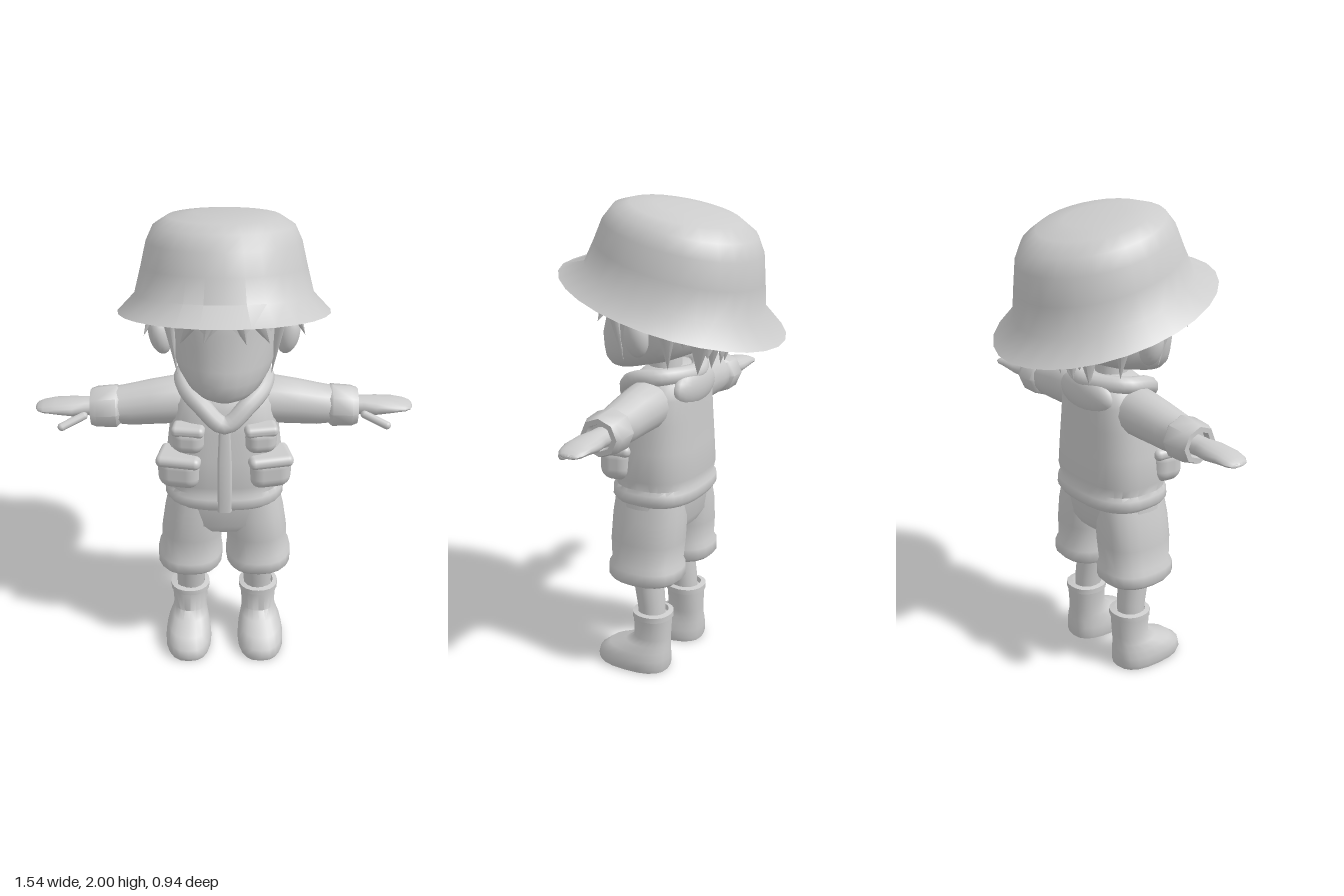
import * as THREE from 'three';
import { toCreasedNormals, mergeVertices } from 'three/addons/utils/BufferGeometryUtils.js';
import { RoundedBoxGeometry } from 'three/addons/geometries/RoundedBoxGeometry.js';

const V = (p) => new THREE.Vector3(...p);

// Indexed grid of rows of points, closed around each row, with optional end caps
function skin(rows, capStart, capEnd, crease = 0.9) {
  const n = rows[0].length, pos = rows.flat(2), idx = [];
  for (let r = 0; r < rows.length - 1; r++) {
    for (let i = 0; i < n; i++) {
      const a = r * n + i, b = r * n + (i + 1) % n;
      idx.push(a, b, b + n, a, b + n, a + n);
    }
  }
  const cap = (r, end) => {
    const c = pos.length / 3;
    for (let k = 0; k < 3; k++) pos.push(rows[r].reduce((s, p) => s + p[k], 0) / n);
    for (let i = 0; i < n; i++) {
      const a = r * n + i, b = r * n + (i + 1) % n;
      idx.push(...(end ? [a, b, c] : [b, a, c]));
    }
  };
  if (capStart) cap(0, false);
  if (capEnd) cap(rows.length - 1, true);
  const g = new THREE.BufferGeometry();
  g.setAttribute('position', new THREE.Float32BufferAttribute(pos, 3));
  g.setIndex(idx);
  return toCreasedNormals(g, crease);
}

// Superellipse cross-sections; a ring is [position, centre a, centre b, radius a, radius b, power, slope]
function loft(rings, { axis = 'y', seg = 24, start = true, end = true, crease } = {}) {
  const bend = (v, p) => Math.sign(v) * Math.abs(v) ** (2 / p);
  const rows = rings.map(([t, ca, cb, ra, rb, p = 2, slope = 0]) =>
    Array.from({ length: seg }, (_, i) => {
      const q = (axis === 'y' ? -1 : 1) * i / seg * Math.PI * 2;
      const a = ra * bend(Math.cos(q), p), b = rb * bend(Math.sin(q), p);
      return axis === 'y' ? [ca + a, t + slope * b, cb + b] : [t, ca + a, cb + b];
    }));
  return skin(rows, start, end, crease);
}

// Places a geometry that runs along y between two points
function between(g, a, b, flat = 1) {
  const d = V(b).sub(V(a));
  const q = new THREE.Quaternion().setFromUnitVectors(V([0, 1, 0]), d.clone().normalize());
  g.scale(1, 1, flat).applyQuaternion(q);
  return g.translate(...V(a).addScaledVector(d, 0.5).toArray());
}
const lock = (a, b, r) => between(new THREE.ConeGeometry(r, V(a).distanceTo(V(b)), 7), a, b, 0.7);

function ball(c, r, tilt = 0) {
  return new THREE.SphereGeometry(1, 20, 14).scale(...r).rotateZ(tilt).translate(...c);
}
function pad(c, size, r, turn = 0) {
  return new RoundedBoxGeometry(...size, 4, r).rotateY(turn).translate(...c);
}

// Mirrors a geometry to the other side and restores its corner order
function mirrored(geo) {
  const g = (geo.index ? geo.toNonIndexed() : geo.clone()).scale(-1, 1, 1);
  for (const { array } of [g.attributes.position, g.attributes.normal]) {
    for (let i = 0; i < array.length; i += 9) {
      for (let k = 3; k < 6; k++) {
        [array[i + k], array[i + k + 3]] = [array[i + k + 3], array[i + k]];
      }
    }
  }
  return g;
}

export function createModel() {
  const root = new THREE.Group();
  const grey = new THREE.MeshStandardMaterial({ color: 0xcccccc, side: THREE.DoubleSide });
  grey.name = 'plain grey';
  const add = (name, geo) => {
    const m = new THREE.Mesh(geo, grey);
    m.name = name;
    root.add(m);
  };
  const pair = (name, geo) => {
    add(name + 'Left', geo);
    add(name + 'Right', mirrored(geo));
  };

  // Bucket hat, tipped back
  add('hat', loft([
    [1.585, 0, 0, 0.42, 0.47, 2, 0.277],
    [1.655, 0, -0.015, 0.352, 0.368, 2, 0.28],
    [1.76, 0, -0.035, 0.325, 0.345, 2, 0.25],
    [1.855, 0, -0.05, 0.303, 0.325, 2, 0.22],
    [1.915, 0, -0.06, 0.275, 0.29, 2, 0.22],
    [1.95, 0, -0.063, 0.22, 0.225, 2, 0.2],
    [1.965, 0, -0.06, 0.12, 0.12, 2, 0.2],
  ], { seg: 28, start: false, crease: 0.75 }));

  // Head, neck and ears
  add('head', loft([
    [1.297, 0, 0.205, 0.05, 0.04], [1.315, 0, 0.185, 0.1, 0.085],
    [1.345, 0, 0.14, 0.145, 0.15], [1.39, 0, 0.09, 0.18, 0.205],
    [1.45, 0, 0.065, 0.205, 0.23], [1.53, 0, 0.05, 0.215, 0.222],
    [1.6, 0, 0.03, 0.23, 0.25], [1.72, 0, 0, 0.24, 0.25],
  ]));
  add('neck', new THREE.CylinderGeometry(0.065, 0.075, 0.2, 16).translate(0, 1.32, 0.03));
  pair('ear', ball([0.255, 1.49, 0.02], [0.045, 0.085, 0.05], -0.2));

  // Hair shell with a jagged lower edge, lower towards the nape
  const cols = 78;
  const hairRows = [0, 0.35, 0.7, 1].map((v) => Array.from({ length: cols }, (_, i) => {
    const q = -i / cols * Math.PI * 2, back = (1 - Math.cos(q)) / 2;
    const tooth = Math.abs((i % 6) - 3) / 3;
    const low = 1.595 - 0.22 * back ** 1.6 + 0.065 * tooth;
    const y = low + (1.72 - low) * v;
    const r = 1 - 0.28 * back * (1 - v) ** 1.5;
    return [Math.sin(q) * 0.275 * r, y, -0.01 + Math.cos(q) * 0.305 * r];
  }));
  add('hair', skin(hairRows, false, true, 0.8));
  for (const [a, b, r] of [
    [[0.215, 1.62, 0.16], [0.185, 1.36, 0.12], 0.035],
    [[0.26, 1.66, 0.12], [0.31, 1.55, 0.16], 0.045],
    [[0.25, 1.66, 0.06], [0.35, 1.6, 0.08], 0.045],
    [[0.12, 1.68, 0.27], [0.17, 1.555, 0.25], 0.045],
    [[0.04, 1.7, 0.28], [0.08, 1.57, 0.29], 0.045],
    [[0.23, 1.55, -0.1], [0.2, 1.36, -0.09], 0.06],
    [[0.14, 1.52, -0.2], [0.12, 1.33, -0.18], 0.06],
    [[0.05, 1.52, -0.22], [0.04, 1.34, -0.2], 0.06],
  ]) pair('hairLock', lock(a, b, r));

  // Jacket body with hem band, front placket, pockets and folded hood
  add('jacket', loft([
    [0.77, 0, 0.03, 0.235, 0.175, 2.6], [0.79, 0, 0.03, 0.25, 0.188, 2.6],
    [0.825, 0, 0.03, 0.247, 0.186, 2.6], [0.84, 0, 0.03, 0.236, 0.175, 2.6],
    [0.88, 0, 0.03, 0.246, 0.182, 2.6], [1, 0, 0.028, 0.236, 0.175, 2.6],
    [1.12, 0, 0.023, 0.222, 0.165, 2.6], [1.22, 0, 0.017, 0.212, 0.158, 2.5],
    [1.28, 0, 0.002, 0.185, 0.14, 2.3], [1.32, 0, -0.005, 0.13, 0.105],
  ], { seg: 32 }));
  add('placket', loft([
    [0.77, 0, 0.2, 0.03, 0.024, 4], [0.83, 0, 0.2, 0.03, 0.024, 4],
    [1, 0, 0.19, 0.03, 0.022, 4], [1.17, 0, 0.172, 0.022, 0.02, 4],
  ], { seg: 16 }));
  pair('chestPocket', pad([0.145, 1.095, 0.165], [0.13, 0.12, 0.1], 0.045, 0.15));
  pair('chestPocketFlap', pad([0.145, 1.14, 0.172], [0.135, 0.045, 0.085], 0.02, 0.15));
  pair('hipPocket', pad([0.18, 0.945, 0.145], [0.18, 0.155, 0.14], 0.055, 0.2));
  pair('hipPocketFlap', pad([0.18, 1.0, 0.15], [0.185, 0.05, 0.145], 0.024, 0.2));
  const collar = new THREE.CatmullRomCurve3([
    [0, 1.165, 0.185], [0.09, 1.235, 0.155], [0.155, 1.285, 0.08], [0.155, 1.305, -0.03],
    [0, 1.305, -0.11], [-0.155, 1.305, -0.03], [-0.155, 1.285, 0.08], [-0.09, 1.235, 0.155],
  ].map(V), true);
  add('collar', new THREE.TubeGeometry(collar, 48, 0.038, 10, true));
  add('hood', ball([0, 1.25, -0.1], [0.16, 0.085, 0.055]));

  // Sleeves with thick turned cuffs
  pair('sleeve', loft([
    [0.12, 1.195, 0.015, 0.09, 0.1], [0.2, 1.195, 0.015, 0.1, 0.1],
    [0.3, 1.185, 0.018, 0.094, 0.09], [0.38, 1.175, 0.02, 0.087, 0.084],
    [0.44, 1.172, 0.02, 0.078, 0.078],
  ], { axis: 'x', seg: 16 }));
  pair('cuff', loft([
    [0.42, 1.17, 0.02, 0.075, 0.075], [0.44, 1.168, 0.02, 0.09, 0.095],
    [0.52, 1.165, 0.02, 0.085, 0.092], [0.545, 1.165, 0.02, 0.076, 0.08],
    [0.545, 1.165, 0.02, 0.055, 0.058], [0.52, 1.165, 0.02, 0.05, 0.052],
  ], { axis: 'x', seg: 8 }));

  // Mitten hands with thumbs
  pair('hand', loft([
    [0.5, 1.165, 0.015, 0.038, 0.045], [0.57, 1.165, 0.015, 0.038, 0.046],
    [0.62, 1.165, 0.018, 0.036, 0.06], [0.69, 1.168, 0.018, 0.027, 0.061],
    [0.74, 1.165, 0.015, 0.018, 0.054], [0.762, 1.163, 0.012, 0.011, 0.04],
    [0.772, 1.162, 0.01, 0.004, 0.02],
  ], { axis: 'x', seg: 16 }));
  pair('thumb', between(new THREE.CapsuleGeometry(0.017, 0.1, 6, 10),
    [0.57, 1.145, 0.06], [0.665, 1.115, 0.108]));

  // Shorts: hips and two wide legs with rolled hems
  add('hips', loft([
    [0.64, 0, 0.038, 0.2, 0.135, 2.5], [0.68, 0, 0.038, 0.245, 0.156, 2.6],
    [0.8, 0, 0.035, 0.235, 0.162, 2.6],
  ], { seg: 28 }));
  pair('shortsLeg', loft([
    [0.46, 0.143, 0.038, 0.1, 0.12, 2.4], [0.425, 0.147, 0.038, 0.115, 0.13, 2.4],
    [0.425, 0.147, 0.038, 0.13, 0.148, 2.4], [0.44, 0.148, 0.038, 0.14, 0.162, 2.4],
    [0.485, 0.147, 0.038, 0.139, 0.162, 2.4], [0.505, 0.144, 0.038, 0.129, 0.15, 2.4],
    [0.6, 0.137, 0.038, 0.13, 0.158, 2.4], [0.7, 0.126, 0.036, 0.126, 0.158, 2.4],
    [0.79, 0.115, 0.035, 0.115, 0.15, 2.4],
  ], { seg: 20 }));

  // Bare legs and boots
  pair('leg', loft([
    [0.22, 0.15, 0.015, 0.058, 0.056], [0.3, 0.148, 0.02, 0.062, 0.06],
    [0.37, 0.145, 0.03, 0.066, 0.063], [0.48, 0.14, 0.035, 0.07, 0.068],
  ], { seg: 16 }));
  pair('boot', loft([
    [0, 0.16, 0.096, 0.096, 0.16, 2.5], [0.02, 0.161, 0.097, 0.102, 0.166, 2.5],
    [0.055, 0.161, 0.092, 0.1, 0.163, 2.4], [0.09, 0.16, 0.07, 0.092, 0.14, 2.3],
    [0.12, 0.156, 0.032, 0.08, 0.1, 2.2], [0.15, 0.153, 0.012, 0.073, 0.08, 2.2],
    [0.24, 0.152, 0.009, 0.08, 0.081, 2.2], [0.242, 0.152, 0.009, 0.086, 0.086, 2.2],
    [0.265, 0.152, 0.009, 0.086, 0.086, 2.2], [0.27, 0.152, 0.009, 0.066, 0.064, 2.2],
    [0.25, 0.152, 0.009, 0.06, 0.058, 2.2],
  ], { seg: 20 }));

  return root;
}
